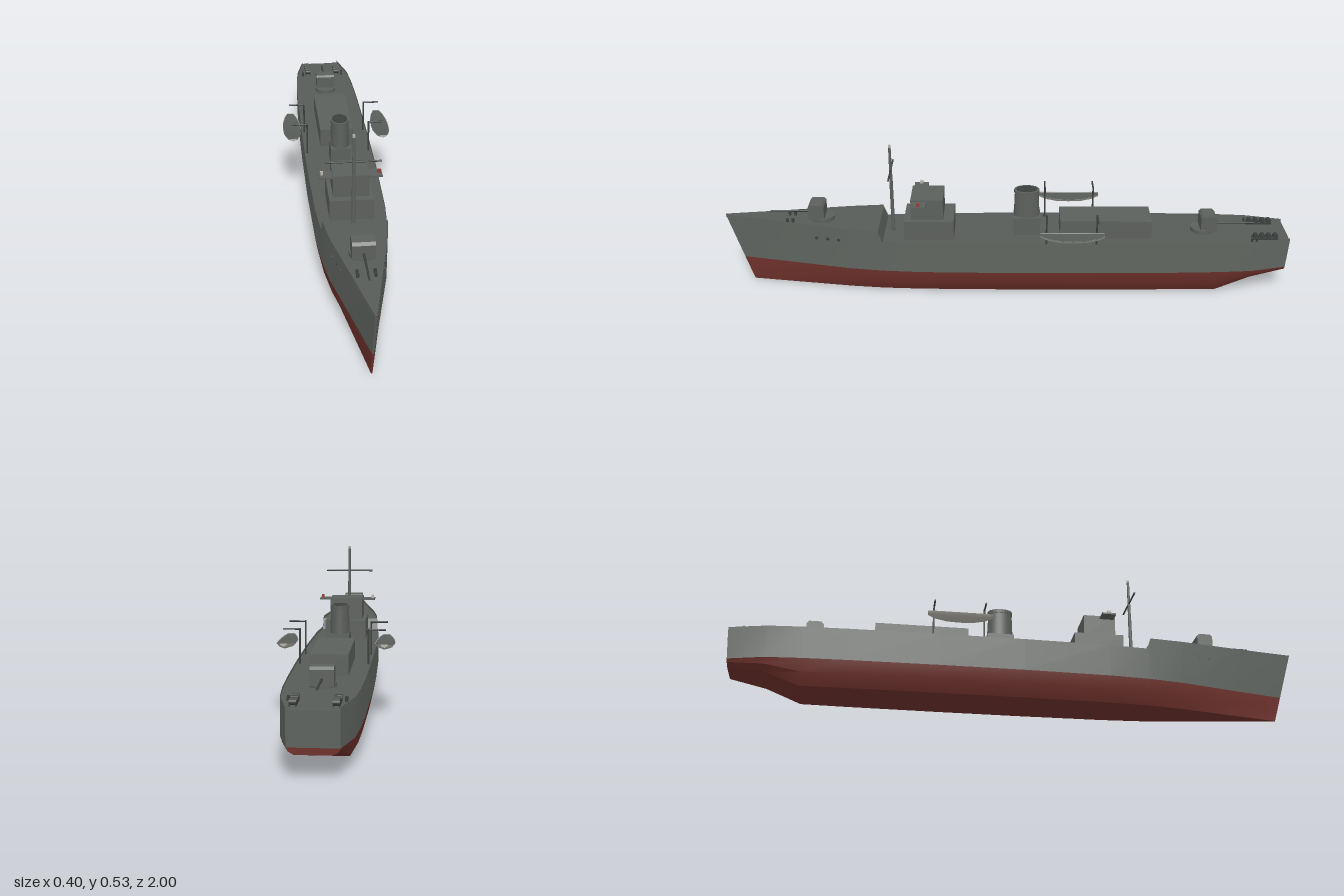
import * as THREE from 'three';
import { toCreasedNormals } from 'three/addons/utils/BufferGeometryUtils.js';

const paint = (name, color, side = THREE.FrontSide) => {
  const m = new THREE.MeshStandardMaterial({ color, side });
  m.name = name;
  return m;
};

export function createModel() {
  const ship = new THREE.Group();
  ship.name = 'patrolShip';
  const grey = paint('hullGrey', 0x606560, THREE.DoubleSide);
  const deckGrey = paint('deckGrey', 0x575c58);
  const houseGrey = paint('superstructureGrey', 0x5c605c);
  const red = paint('antifoulingRed', 0x70322c, THREE.DoubleSide);
  const dark = paint('darkMetal', 0x3c403d);
  const pale = paint('paleGrey', 0xb4b2aa, THREE.DoubleSide);
  const lampRed = paint('lampRed', 0x9a3a34);

  const add = (name, geo, mat, x = 0, y = 0, z = 0, parent = ship) => {
    const m = new THREE.Mesh(geo, mat);
    m.name = name;
    m.position.set(x, y, z);
    parent.add(m);
    return m;
  };
  // Box given by its bottom height, top height and z range
  const block = (name, mat, w, y0, y1, z0, z1, x = 0) =>
    add(name, new THREE.BoxGeometry(w, y1 - y0, z1 - z0), mat, x, (y0 + y1) / 2, (z0 + z1) / 2);
  // Round bar between two points
  const bar = (name, mat, a, b, r, r2 = r, parent = ship) => {
    const A = new THREE.Vector3(...a), B = new THREE.Vector3(...b), d = B.clone().sub(A);
    const m = add(name, new THREE.CylinderGeometry(r2, r, d.length(), 12), mat, 0, 0, 0, parent);
    m.position.copy(A).add(B).multiplyScalar(0.5);
    m.quaternion.setFromUnitVectors(new THREE.Vector3(0, 1, 0), d.normalize());
    return m;
  };
  // Surface through equal-length rows of points
  const loft = (rows, crease = 0.5) => {
    const n = rows[0].length, index = [];
    for (let i = 0; i < rows.length - 1; i++)
      for (let j = 0; j < n - 1; j++) {
        const a = i * n + j, d = a + n;
        index.push(a, a + 1, d, a + 1, d + 1, d);
      }
    const g = new THREE.BufferGeometry();
    g.setAttribute('position', new THREE.Float32BufferAttribute(rows.flat(2), 3));
    g.setIndex(index);
    return toCreasedNormals(g, crease);
  };

  // Hull stations: z, half width, rim height, bottom height
  const stations = [
    [-1, 0.075, 0.205, 0.07], [-0.87, 0.106, 0.205, 0.05], [-0.75, 0.115, 0.205, 0.003],
    [-0.6, 0.12, 0.205, 0.003], [-0.3, 0.124, 0.205, 0.003], [0, 0.124, 0.205, 0.003],
    [0.3, 0.118, 0.205, 0.003], [0.435, 0.108, 0.205, 0.003], [0.45, 0.106, 0.246, 0.003],
    [0.57, 0.09, 0.248, 0.003], [0.8, 0.043, 0.254, 0.001], [1, 0.003, 0.26, 0],
  ];
  const WL = 0.09, RIM = 0.01;
  const rake = (z, y) => z > 0.45 ? z - 0.08 * (1 - y / 0.26) * ((z - 0.45) / 0.55)
    : z < -0.9 ? z + 0.012 * (1 - y / 0.205) : z;
  const rings = stations.map(([z, w, top, b]) => {
    const half = [[w, top], [w, WL], [0.93 * w, b + (WL - b) * 0.48], [0.72 * w, b]];
    return [...half.map(([x, y]) => [-x, y]), ...half.reverse()].map(([x, y]) => [x, y, rake(z, y)]);
  });
  add('hullSideRight', loft(rings.map(r => r.slice(0, 2))), grey);
  add('hullSideLeft', loft(rings.map(r => r.slice(6, 8))), grey);
  add('hullBottom', loft(rings.map(r => r.slice(1, 7))), red);
  const lower = ([x, y, z]) => [x, y - RIM, z];
  add('deck', loft(rings.map(r => [lower(r[7]), lower(r[0])]), 0.3), deckGrey);

  // Flat transom and narrow stem
  const stern = rings[0], bow = rings[rings.length - 1];
  add('transom', loft([[lower(stern[7]), stern[6]], [lower(stern[0]), stern[1]]]), grey);
  add('transomBottom', loft([[stern[6], stern[5], stern[4]], [stern[1], stern[2], stern[3]]]), red);
  add('stem', loft([bow.slice(0, 2), [bow[7], bow[6]]]), grey);
  add('stemBottom', loft([bow.slice(1, 4), [bow[6], bow[5], bow[4]]]), red);

  // Bridge
  const DECK = 0.194;
  block('bridgeBase', houseGrey, 0.148, DECK, 0.267, 0.185, 0.36);
  block('bridgeHouse', houseGrey, 0.12, 0.267, 0.344, 0.222, 0.335);
  block('bridgeWings', houseGrey, 0.208, 0.332, 0.338, 0.28, 0.33);
  block('lampLeft', lampRed, 0.009, 0.338, 0.349, 0.3, 0.312, 0.095);
  block('lampRight', pale, 0.009, 0.338, 0.349, 0.3, 0.312, -0.095);

  // Mast
  bar('mast', houseGrey, [0, DECK, 0.405], [0, 0.39, 0.405], 0.0065, 0.006);
  bar('topmast', houseGrey, [0, 0.39, 0.405], [0, 0.518, 0.405], 0.0055, 0.0045);
  bar('mastLight', pale, [0, 0.518, 0.405], [0, 0.527, 0.405], 0.005);
  bar('yard', dark, [-0.089, 0.432, 0.405], [0.089, 0.432, 0.405], 0.003);

  // Funnel and deckhouse
  block('funnelBase', houseGrey, 0.07, DECK, 0.262, -0.12, -0.025);
  const funnel = new THREE.Group();
  funnel.name = 'funnel';
  funnel.position.z = -0.072;
  funnel.scale.z = 1.35;
  ship.add(funnel);
  add('funnelCasing', new THREE.CylinderGeometry(0.031, 0.034, 0.096, 32), houseGrey, 0, 0.308, 0, funnel);
  add('funnelRim', new THREE.CylinderGeometry(0.033, 0.033, 0.012, 32), houseGrey, 0, 0.354, 0, funnel);
  add('funnelMouth', new THREE.CylinderGeometry(0.027, 0.027, 0.002, 32), dark, 0, 0.36, 0, funnel);
  block('deckhouse', houseGrey, 0.122, DECK, 0.262, -0.512, -0.19);

  // Deck guns: round platform, rounded shield, barrel
  const shield = new THREE.Shape([[-0.028, 0], [0.028, 0], [0.028, 0.048], [0.02, 0.057], [-0.021, 0.057], [-0.028, 0.05]]
    .map(p => new THREE.Vector2(...p)));
  const gun = (name, y, z, facing, s) => {
    const g = new THREE.Group();
    g.name = name;
    g.position.set(0, y, z);
    g.rotation.y = facing;
    g.scale.setScalar(s);
    ship.add(g);
    add('gunPlatform', new THREE.CylinderGeometry(0.041, 0.041, 0.014, 32), houseGrey, 0, 0.004, -0.018, g);
    const geo = new THREE.ExtrudeGeometry(shield, { depth: 0.072, bevelEnabled: false });
    geo.translate(0, 0, -0.036).rotateY(-Math.PI / 2);
    add('gunShield', geo, houseGrey, 0, 0.006, 0, g);
    bar('gunBarrel', dark, [0, 0.026, 0.02], [0, 0.026, 0.168], 0.004, 0.003, g);
  };
  gun('foreGun', 0.247, 0.672, 0, 1);
  gun('aftGun', 0.203, -0.718, Math.PI, 1);

  // Boat hull sections: z, half width, gunwale height, keel height
  const boatSections = [[-0.11, 0.012, 0.028, 0.017], [-0.085, 0.023, 0.023, 0.007], [-0.045, 0.031, 0.019, 0.001],
    [0, 0.033, 0.018, 0], [0.045, 0.031, 0.019, 0.001], [0.085, 0.023, 0.023, 0.007], [0.11, 0.012, 0.028, 0.017]];
  const boatRows = boatSections.map(([z, w, t, k]) =>
    [[-w, t], [-0.78 * w, k + (t - k) * 0.4], [0, k], [0.78 * w, k + (t - k) * 0.4], [w, t]].map(([x, y]) => [x, y, z]));
  const boatHull = loft(boatRows, 0.8);
  const boatCover = loft(boatRows.map(r => [[r[4][0], r[4][1] - 0.002, r[4][2]], [r[0][0], r[0][1] - 0.002, r[0][2]]]), 0.8);
  const [aftEnd, foreEnd] = [boatRows[0], boatRows[6]];
  const boatEnds = [
    loft([[aftEnd[4], aftEnd[3], aftEnd[2]], [aftEnd[0], aftEnd[1], aftEnd[2]]]),
    loft([[foreEnd[0], foreEnd[1], foreEnd[2]], [foreEnd[4], foreEnd[3], foreEnd[2]]]),
  ];

  for (const s of [-1, 1]) {
    // Boats and their davits
    const boat = new THREE.Group();
    boat.name = s > 0 ? 'boatLeft' : 'boatRight';
    boat.position.set(s * 0.165, 0.237, -0.228);
    ship.add(boat);
    add('boatHull', boatHull, pale, 0, 0, 0, boat);
    add('boatCover', boatCover, deckGrey, 0, 0, 0, boat);
    boatEnds.forEach(e => add('boatEnd', e, pale, 0, 0, 0, boat));
    for (const z of [-0.14, -0.315]) {
      bar('davitPost', dark, [s * 0.113, DECK, z], [s * 0.113, 0.313, z], 0.003);
      bar('davitArm', dark, [s * 0.11, 0.31, z], [s * 0.169, 0.31, z], 0.003);
    }
    // Stern racks with drums
    for (const x of [0.051, 0.069]) block('rackRail', dark, 0.002, DECK, 0.202, -0.96, -0.868, s * x);
    for (let i = 0; i < 4; i++) {
      const z = -0.95 + i * 0.023;
      bar('rackDrum', dark, [s * 0.05, 0.207, z], [s * 0.07, 0.207, z], 0.009);
    }
    // Bollards and portholes
    for (const z of [0.757, 0.777]) bar('bowBollard', dark, [s * 0.027, 0.241, z], [s * 0.027, 0.256, z], 0.005);
    for (const z of [-0.865, -0.882]) bar('sternBollard', dark, [s * 0.082, DECK, z], [s * 0.082, 0.207, z], 0.004);
    for (const z of [0.59, 0.63, 0.67]) {
      const w = 0.09 - (z + 0.007 - 0.57) * (0.047 / 0.23);
      bar('porthole', dark, [s * (w - 0.004), 0.2, z], [s * (w + 0.001), 0.2, z], 0.006);
    }
  }
  return ship;
}
